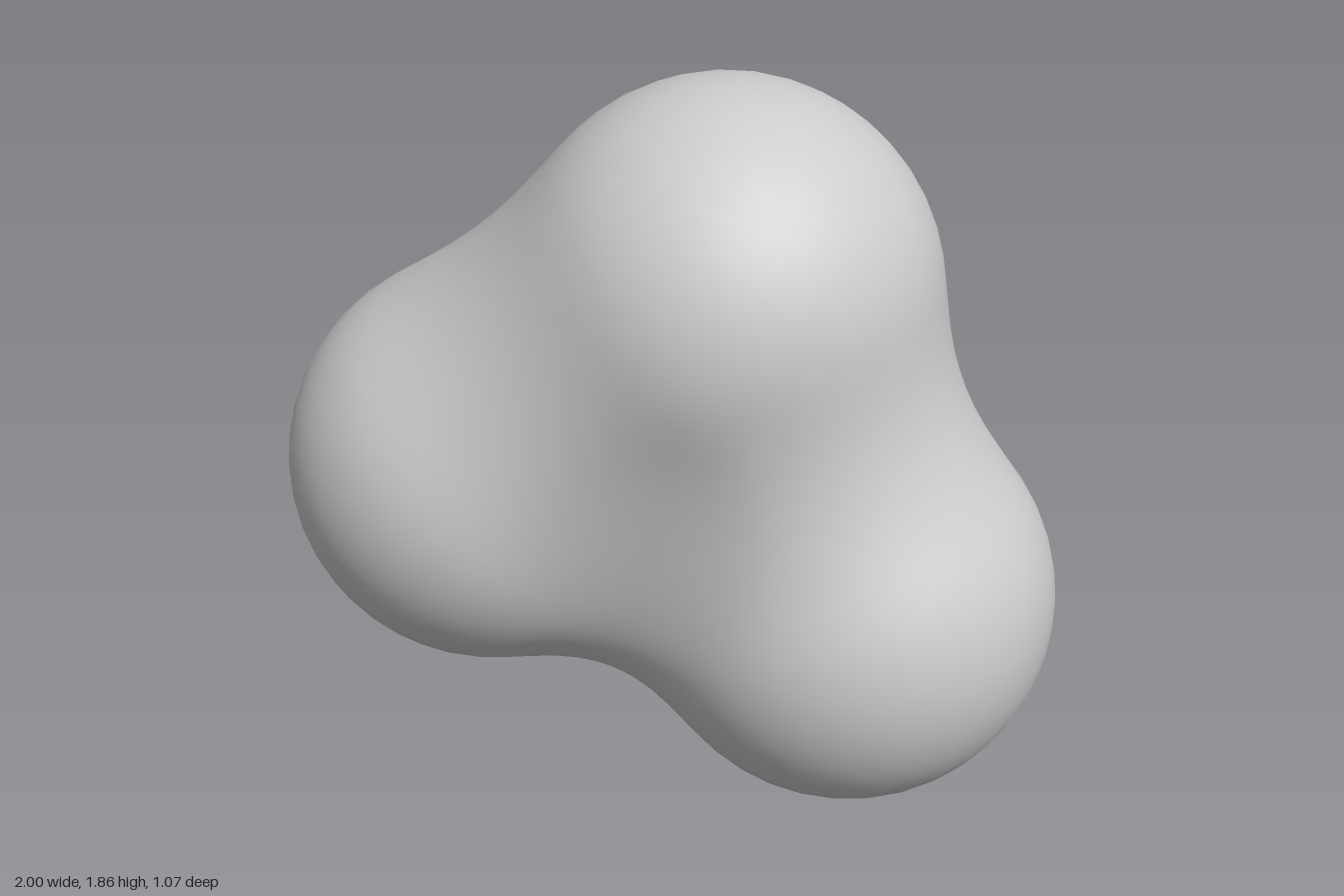
import * as THREE from 'three';

// Three equal soft balls, merged by a smooth falloff field
const BALLS = [
  new THREE.Vector3(0.14, 1.33, 0),   // top lobe
  new THREE.Vector3(-0.468, 0.815, 0), // right lobe
  new THREE.Vector3(0.468, 0.533, 0),  // left lobe
];
const REACH = 0.927;     // distance at which a ball's influence ends
const THRESHOLD = 0.3;   // field value on the skin
const CORE = new THREE.Vector3(0.04, 0.82, 0); // inside all three lobes

// Field strength at p; also writes the outward direction into normal
function field(p, normal) {
  let sum = 0;
  normal.set(0, 0, 0);
  for (const c of BALLS) {
    const k = 1 - p.distanceToSquared(c) / (REACH * REACH);
    if (k <= 0) continue;
    sum += k ** 3;
    normal.addScaledVector(p, k * k).addScaledVector(c, -k * k);
  }
  return sum;
}

export function createModel() {
  const group = new THREE.Group();
  group.name = 'mergedBlob';

  // Push every vertex of a sphere out from the core to the skin by bisection
  const geometry = new THREE.IcosahedronGeometry(1, 14);
  const pos = geometry.attributes.position;
  const nor = geometry.attributes.normal;
  const dir = new THREE.Vector3();
  const p = new THREE.Vector3();
  const n = new THREE.Vector3();
  for (let i = 0; i < pos.count; i++) {
    dir.fromBufferAttribute(pos, i).normalize();
    let near = 0, far = 1.6;
    for (let step = 0; step < 24; step++) {
      const mid = (near + far) / 2;
      p.copy(CORE).addScaledVector(dir, mid);
      if (field(p, n) > THRESHOLD) near = mid;
      else far = mid;
    }
    p.copy(CORE).addScaledVector(dir, near);
    field(p, n);
    n.normalize();
    pos.setXYZ(i, p.x, p.y, p.z);
    nor.setXYZ(i, n.x, n.y, n.z);
  }

  const skin = new THREE.Mesh(geometry, new THREE.MeshStandardMaterial({ color: 0xcccccc }));
  skin.name = 'threeLobedBody';
  group.add(skin);
  return group;
}
